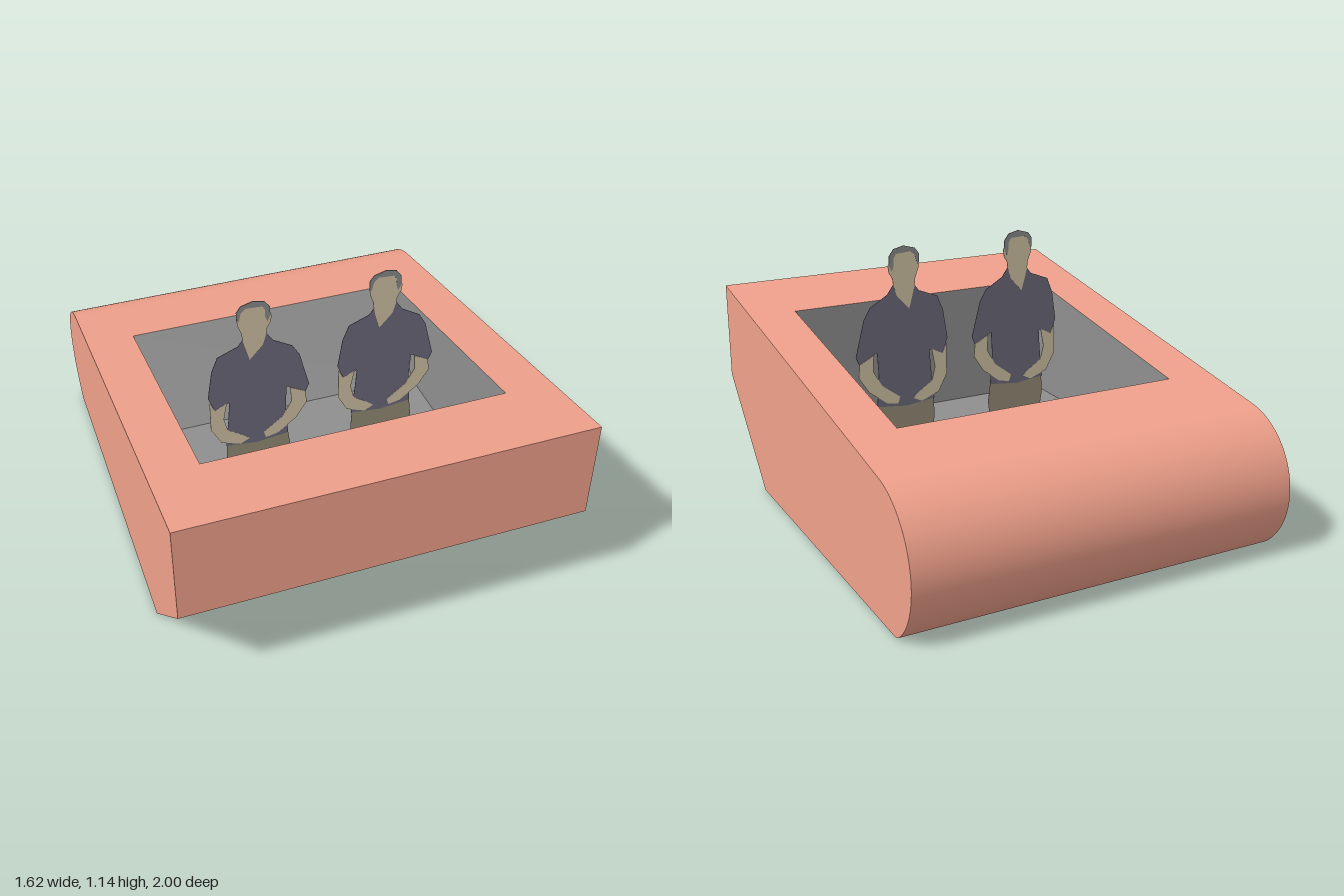
import * as THREE from 'three';

const W = 0.81;    // half width of the hull
const PW = 0.61;   // half width of the cockpit
const deckY = (z) => 0.845 + (z - 1) * 0.164;

const mat = (color) => new THREE.MeshStandardMaterial({ color, side: THREE.DoubleSide });
const mats = {
  hull: mat(0xf0a18b), cockpit: mat(0x8f8f8f), skin: mat(0xd3c4a6),
  shirt: mat(0x6c6a7b), hair: mat(0x8a8c8b), trousers: mat(0x968d78),
};

function add(parent, name, geometry, material) {
  const mesh = new THREE.Mesh(geometry, material);
  mesh.name = name;
  parent.add(mesh);
  return mesh;
}

const toShape = (pts) => new THREE.Shape(pts.map(([x, y]) => new THREE.Vector2(x, y)));

// Sweeps a [z, y] profile across the width, smooth along its length
function sweep(pts, w) {
  const pos = [], idx = [];
  pts.forEach(([z, y], i) => {
    pos.push(-w, y, z, w, y, z);
    const a = 2 * i;
    if (i < pts.length - 1) idx.push(a, a + 1, a + 2, a + 1, a + 3, a + 2);
  });
  const g = new THREE.BufferGeometry();
  g.setAttribute('position', new THREE.Float32BufferAttribute(pos, 3));
  g.setIndex(idx);
  g.computeVertexNormals();
  return g;
}

// Flat upright panel from a [z, y] outline at x, facing +x or -x
function panel(pts, x, facing) {
  const g = new THREE.ShapeGeometry(toShape(pts)).rotateY(-Math.PI / 2).translate(x, 0, 0);
  if (facing > 0) g.setIndex(Array.from(g.index.array).reverse());
  g.computeVertexNormals();
  return g;
}

// Flat cut-out figure, its layers stacked by thickness so both sides read alike
function createFigure(x, y, z) {
  const figure = new THREE.Group();
  const layer = (name, pts, material, t) => add(figure, name,
    new THREE.ExtrudeGeometry(toShape(pts), { depth: t, bevelEnabled: false }).translate(0, 0, -t / 2), material);

  layer('trousers', [[-0.125, 0.5], [-0.13, 0.38], [-0.11, 0.25], [-0.01, 0.25], [0.02, 0.33],
    [0.04, 0.25], [0.13, 0.25], [0.145, 0.38], [0.13, 0.5]], mats.trousers, 0.001);
  layer('shirt', [[-0.045, 0.97], [-0.066, 0.943], [-0.15, 0.91], [-0.176, 0.845], [-0.195, 0.72],
    [-0.17, 0.655], [-0.11, 0.68], [-0.115, 0.6], [-0.13, 0.46], [0, 0.445], [0.135, 0.46],
    [0.125, 0.6], [0.13, 0.7], [0.21, 0.655], [0.225, 0.69], [0.185, 0.845], [0.155, 0.895],
    [0.078, 0.94], [0.05, 0.98]], mats.shirt, 0.002);
  layer('head', [[-0.068, 1.08], [-0.065, 1.04], [-0.05, 1.0], [-0.046, 0.965], [-0.02, 0.87],
    [0.035, 0.93], [0.05, 0.98], [0.053, 1.005], [0.068, 1.03], [0.072, 1.06], [0.062, 1.08],
    [0.058, 1.11], [0, 1.13], [-0.055, 1.11]], mats.skin, 0.003);
  layer('hair', [[-0.068, 1.065], [-0.068, 1.1], [-0.05, 1.125], [0, 1.139], [0.045, 1.128],
    [0.066, 1.1], [0.067, 1.06], [0.054, 1.035], [0.046, 1.06], [0.046, 1.09], [0.035, 1.108],
    [-0.03, 1.112], [-0.05, 1.095], [-0.06, 1.055]], mats.hair, 0.004);
  layer('rightForearm', [[-0.19, 0.7], [-0.19, 0.56], [-0.15, 0.485], [-0.07, 0.455],
    [-0.03, 0.475], [-0.06, 0.5], [-0.12, 0.54], [-0.135, 0.6], [-0.12, 0.68], [-0.17, 0.655]], mats.skin, 0.003);
  layer('leftForearm', [[0.145, 0.69], [0.15, 0.62], [0.11, 0.55], [0.03, 0.49], [0.04, 0.46],
    [0.09, 0.47], [0.17, 0.53], [0.215, 0.6], [0.21, 0.655]], mats.skin, 0.003);
  figure.position.set(x, y, z);
  return figure;
}

export function createModel() {
  const model = new THREE.Group();
  model.name = 'pod';

  // Rounded tail, from the deck down to the underside
  const tail = [];
  const start = 1.733, end = Math.PI + 0.975;
  for (let i = 0; i <= 28; i++) {
    const a = start + (end - start) * i / 28;
    tail.push([-0.69 + 0.31 * Math.cos(a), 0.254 + 0.31 * Math.sin(a)]);
  }
  tail[28] = [-0.86, 0];
  const tailTop = tail[0][0];
  tail[0][1] = deckY(tailTop);
  const bottom = [0.58, 0], chin = [1, 0.423], nose = [1, 0.845];

  const hull = new THREE.Group();
  hull.name = 'hull';
  model.add(hull);
  add(hull, 'tail', sweep(tail, W), mats.hull);
  add(hull, 'underside', sweep([tail[28], bottom], W), mats.hull);
  add(hull, 'frontBevel', sweep([bottom, chin], W), mats.hull);
  add(hull, 'frontFace', sweep([chin, nose], W), mats.hull);
  for (const s of [-1, 1]) {
    add(hull, s > 0 ? 'leftSide' : 'rightSide', panel([...tail, bottom, chin, nose], s * W, s), mats.hull);
  }

  // Sloping deck with the cockpit opening
  const front = 0.64, back = -0.45;
  const plan = toShape([[-W, -1], [W, -1], [W, -tailTop], [-W, -tailTop]]);
  plan.holes.push(toShape([[-PW, -front], [-PW, -back], [PW, -back], [PW, -front]]));
  const deck = new THREE.ShapeGeometry(plan).rotateX(-Math.PI / 2);
  const p = deck.attributes.position;
  for (let i = 0; i < p.count; i++) p.setY(i, deckY(p.getZ(i)));
  deck.computeVertexNormals();
  add(hull, 'deck', deck, mats.hull);

  // Cockpit well with a sloping rear wall
  const well = [[front, deckY(front)], [front, 0.25], [-0.19, 0.25], [back, deckY(back)]];
  const cockpit = new THREE.Group();
  cockpit.name = 'cockpit';
  model.add(cockpit);
  ['frontWall', 'floor', 'rearWall'].forEach((name, i) =>
    add(cockpit, name, sweep([well[i], well[i + 1]], PW), mats.cockpit));
  for (const s of [-1, 1]) {
    add(cockpit, s > 0 ? 'leftWall' : 'rightWall', panel(well, s * PW, -s), mats.cockpit);
  }

  // Two standing occupants
  [[-0.265, 0, 0.215], [0.29, -0.004, 0.18]].forEach((pos, i) => {
    const figure = createFigure(...pos);
    figure.name = i ? 'leftOccupant' : 'rightOccupant';
    model.add(figure);
  });
  return model;
}
